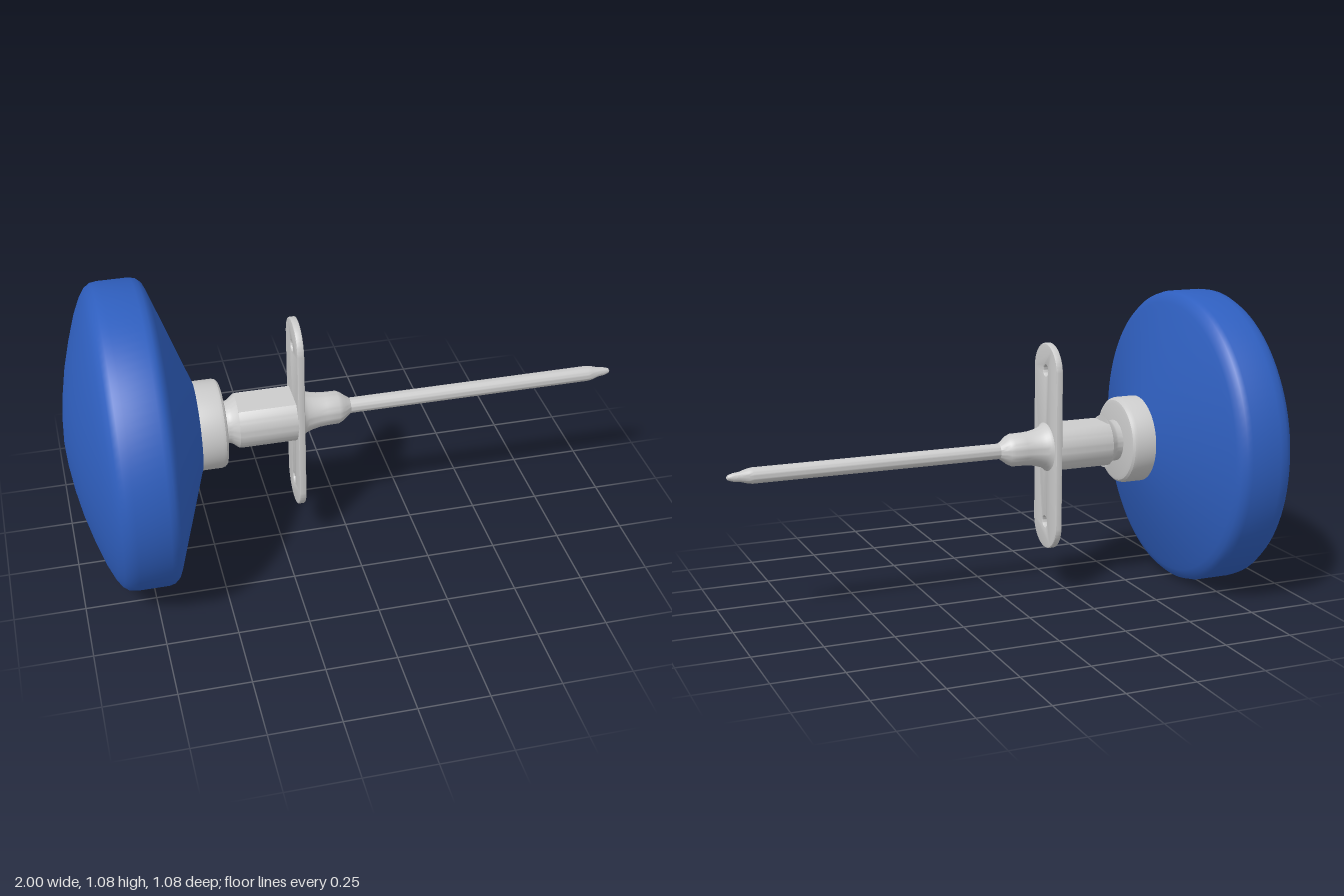
import * as THREE from 'three';
import { toCreasedNormals } from 'three/addons/utils/BufferGeometryUtils.js';

const GREY = new THREE.MeshStandardMaterial({ color: 0xcccccc });
const BLUE = new THREE.MeshStandardMaterial({ color: 0x2f5fbf });
const AXIS_Y = 0.545, AXIS_Z = 0.01;

// Revolves [x, radius] points (left to right) around the x axis.
function revolve(points, segments = 72) {
  const profile = points.map(([x, r]) => new THREE.Vector2(r, x));
  return new THREE.LatheGeometry(profile, segments).rotateZ(-Math.PI / 2);
}

function addPart(group, name, geometry, material = GREY, y = AXIS_Y, z = AXIS_Z) {
  const mesh = new THREE.Mesh(toCreasedNormals(geometry, 0.5), material);
  mesh.name = name;
  mesh.position.set(0, y, z);
  group.add(mesh);
}

export function createModel() {
  const model = new THREE.Group();
  model.name = 'discHandle';

  // Big disc: domed outer face, rounded rim, conical inner face
  addPart(model, 'disc', revolve([
    [-1, 0], [-0.995, 0.08], [-0.983, 0.17], [-0.965, 0.26], [-0.94, 0.35],
    [-0.91, 0.44], [-0.885, 0.495], [-0.867, 0.522], [-0.846, 0.537], [-0.82, 0.541],
    [-0.71, 0.541], [-0.69, 0.536], [-0.674, 0.522], [-0.664, 0.5], [-0.655, 0.475],
    [-0.54, 0.16], [-0.54, 0],
  ], 96), BLUE, 0.541, 0);

  // Collar against the disc
  addPart(model, 'collar', revolve([
    [-0.545, 0], [-0.545, 0.158], [-0.47, 0.158], [-0.459, 0.155],
    [-0.452, 0.148], [-0.449, 0.137], [-0.449, 0],
  ]));

  // Barrel: flared neck, then a cylinder with flats cut on top and bottom
  const barrel = revolve([
    [-0.455, 0.075], [-0.43, 0.075], [-0.42, 0.08], [-0.4, 0.096],
    [-0.399, 0.096], [-0.39, 0.098], [-0.19, 0.098],
  ]);
  const p = barrel.attributes.position;
  for (let i = 0; i < p.count; i++) {
    if (p.getX(i) > -0.3995) p.setY(i, THREE.MathUtils.clamp(p.getY(i), -0.075, 0.075));
  }
  addPart(model, 'barrel', barrel);

  // Mounting plate: rounded ends and two screw holes
  const bevel = 0.005, r = 0.099 - bevel, h = 0.281;
  const outline = new THREE.Shape();
  outline.absarc(0, h, r, 0, Math.PI);
  outline.absarc(0, -h, r, Math.PI, Math.PI * 2);
  outline.closePath();
  for (const y of [-h, h]) {
    outline.holes.push(new THREE.Path().absarc(0, y, 0.02 + bevel, 0, Math.PI * 2, true));
  }
  const plate = new THREE.ExtrudeGeometry(outline, {
    depth: 0.015, bevelEnabled: true, bevelSize: bevel, bevelThickness: bevel,
    bevelSegments: 3, curveSegments: 24,
  });
  plate.translate(0, 0, -0.19).rotateY(Math.PI / 2);
  addPart(model, 'mountingPlate', plate);

  // Stepped hub blending out of the plate
  addPart(model, 'hub', revolve([
    [-0.175, 0.095], [-0.169, 0.087], [-0.162, 0.08], [-0.15, 0.073], [-0.13, 0.067],
    [-0.105, 0.062], [-0.08, 0.06], [-0.035, 0.059], [-0.02, 0.052], [-0.005, 0.04],
    [0.012, 0.028], [0.012, 0],
  ], 48));

  // Long thin rod with a stepped, tapered tip
  addPart(model, 'rod', revolve([
    [0, 0.028], [0.91, 0.028], [0.925, 0.026], [0.955, 0.017],
    [0.975, 0.015], [0.994, 0.009], [1, 0],
  ], 32));

  return model;
}
